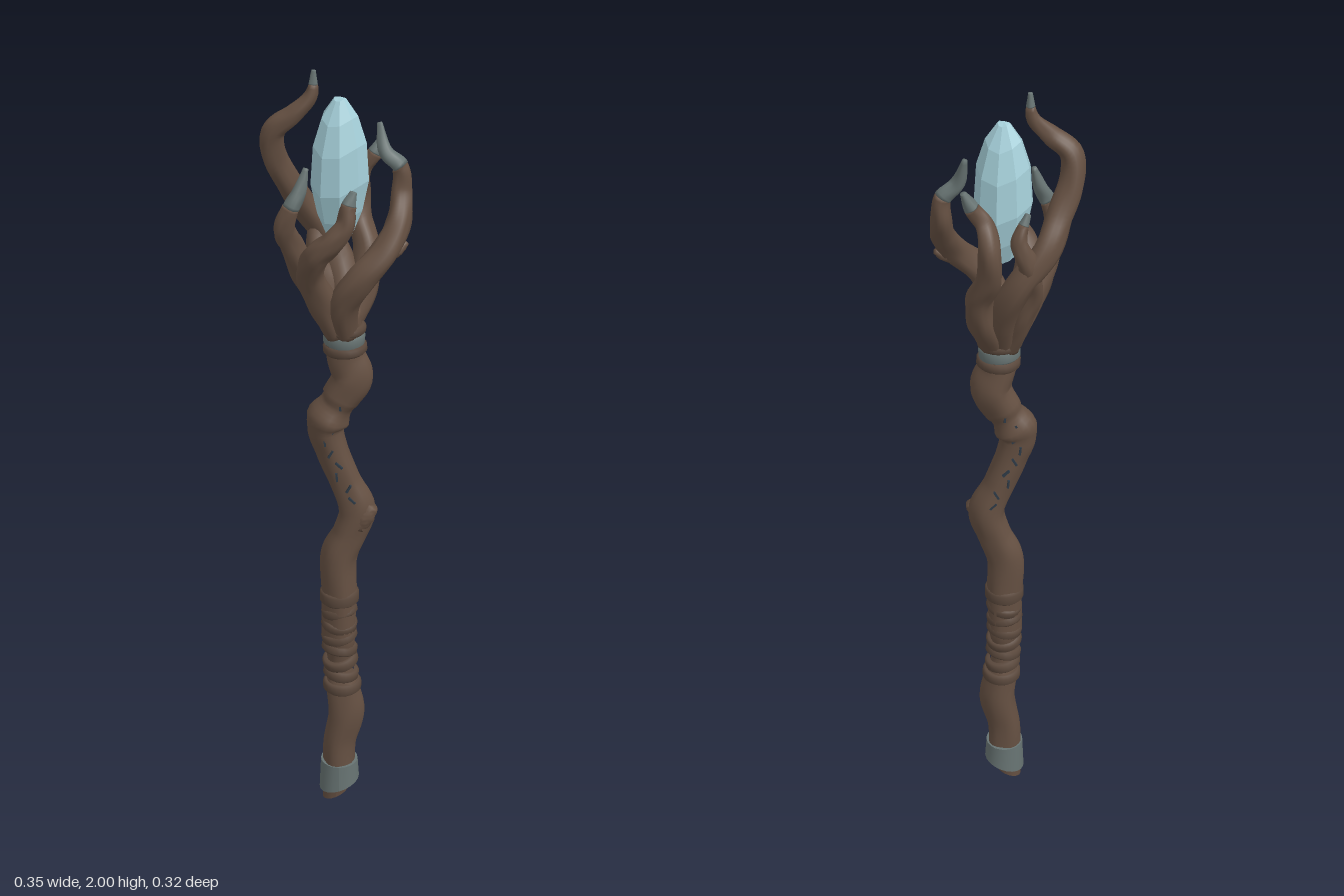
import * as THREE from 'three';

const material = (name, color) => {
  const m = new THREE.MeshStandardMaterial({ color });
  m.name = name;
  return m;
};

export function createModel() {
  const staff = new THREE.Group();
  staff.name = 'staff';
  const wood = material('brown wood', 0x655042);
  const binding = material('dark binding', 0x5a483c);
  const slate = material('slate grey', 0x677372);
  const ice = material('pale blue crystal', 0xa6d0da);
  const ink = material('dark rune', 0x2e3a46);

  const add = (name, geometry, mat, parent = staff) => {
    const mesh = new THREE.Mesh(geometry, mat);
    mesh.name = name;
    parent.add(mesh);
    return mesh;
  };

  // Gnarled tube through rows of [x, y, z, radius], optionally only from t0 to t1
  function limb(rows, { t0 = 0, t1 = 1, steps = 40, sides = 14, gnarl = 0.07, zScale = 1 } = {}) {
    const curve = new THREE.CatmullRomCurve3(rows.map(r => new THREE.Vector3(r[0], r[1], r[2])));
    const radii = new THREE.CatmullRomCurve3(rows.map(r => new THREE.Vector3(r[3], 0, 0)));
    const pos = [], index = [];
    const N = new THREE.Vector3(1, 0, 0), B = new THREE.Vector3();
    for (let i = 0; i <= steps; i++) {
      const t = t0 + (t1 - t0) * i / steps;
      const p = curve.getPoint(t), T = curve.getTangent(t);
      const radius = radii.getPoint(t).x;
      N.addScaledVector(T, -N.dot(T)).normalize();
      B.crossVectors(T, N);
      for (let j = 0; j < sides; j++) {
        const a = j / sides * Math.PI * 2;
        const r = radius * (1 + gnarl * Math.sin(3 * a + t * 17) + gnarl * 0.5 * Math.sin(5 * a - t * 31));
        const v = p.clone().addScaledVector(N, r * Math.cos(a)).addScaledVector(B, r * Math.sin(a) * zScale);
        pos.push(v.x, v.y, v.z);
      }
    }
    for (let i = 0; i < steps; i++) for (let j = 0; j < sides; j++) {
      const k = (j + 1) % sides, a = i * sides, b = a + sides;
      index.push(a + j, a + k, b + k, a + j, b + k, b + j);
    }
    // End caps
    const first = curve.getPoint(t0), last = curve.getPoint(t1), c = pos.length / 3, e = steps * sides;
    pos.push(first.x, first.y, first.z, last.x, last.y, last.z);
    for (let j = 0; j < sides; j++) {
      const k = (j + 1) % sides;
      index.push(c, k, j, c + 1, e + j, e + k);
    }
    const g = new THREE.BufferGeometry();
    g.setAttribute('position', new THREE.Float32BufferAttribute(pos, 3));
    g.setIndex(index);
    g.computeVertexNormals();
    return g;
  }

  // Crooked shaft
  const shaft = [
    [0.005, 0.06, 0, 0.044], [0.005, 0.18, 0, 0.043], [0.022, 0.28, 0, 0.047], [0.012, 0.37, 0, 0.043],
    [0.005, 0.5, 0, 0.043], [0.005, 0.63, 0, 0.045], [0.003, 0.75, 0, 0.046], [0.03, 0.82, 0, 0.043],
    [0.048, 0.89, 0, 0.045], [0.018, 0.97, 0, 0.039], [-0.012, 1.05, 0, 0.04], [-0.028, 1.12, 0, 0.046],
    [0.005, 1.19, 0, 0.046], [0.035, 1.25, 0, 0.05], [0.02, 1.31, 0, 0.046], [0.012, 1.42, 0, 0.044]
  ];
  add('shaft', limb(shaft, { steps: 110, sides: 20, gnarl: 0.045 }), wood);
  const shaftCurve = new THREE.CatmullRomCurve3(shaft.map(r => new THREE.Vector3(r[0], r[1], r[2])));
  const shaftAt = y => {
    let i = 0;
    while (i < shaft.length - 2 && shaft[i + 1][1] < y) i++;
    return shaftCurve.getPoint((i + (y - shaft[i][1]) / (shaft[i + 1][1] - shaft[i][1])) / (shaft.length - 1));
  };
  add('shaftKnot', limb([[0.05, 0.85, 0.012, 0.028], [0.07, 0.88, 0.018, 0.026], [0.088, 0.905, 0.02, 0.015]],
    { steps: 10 }), wood);

  // Slanted foot and metal ferrule; the cut end faces +x and down
  const foot = new THREE.CylinderGeometry(0.044, 0.036, 0.09, 18, 3);
  const ferrule = new THREE.CylinderGeometry(0.049, 0.053, 0.075, 20, 2);
  const slant = (g, height, amount, lean) => {
    const p = g.attributes.position;
    for (let i = 0; i < p.count; i++) {
      const w = 0.5 - p.getY(i) / height;
      p.setY(i, p.getY(i) + w * amount * p.getX(i));
      p.setX(i, p.getX(i) + w * lean);
    }
    g.computeVertexNormals();
  };
  slant(foot, 0.09, 0.5, -0.008);
  slant(ferrule, 0.075, 0.35, 0);
  add('footTip', foot, wood).position.set(0.004, 0.063, 0);
  add('ferrule', ferrule, slate).position.set(0.005, 0.087, 0);

  // Rounded collars around the shaft
  function collar(name, y, radius, height, mat, tiltX = 0, tiltZ = 0) {
    const h = height / 2, b = Math.min(0.006, h * 0.6);
    const profile = [[radius - 0.015, -h], [radius - b, -h], [radius, -h + b], [radius, h - b], [radius - b, h], [radius - 0.015, h]];
    const mesh = add(name, new THREE.LatheGeometry(profile.map(p => new THREE.Vector2(...p)), 24), mat);
    mesh.position.copy(shaftAt(y));
    mesh.rotation.set(tiltX, 0, tiltZ);
  }
  collar('gripLowerBand', 0.365, 0.05, 0.03, binding);
  collar('gripUpperBand', 0.635, 0.05, 0.036, binding);
  for (let i = 0; i < 6; i++) {
    collar('gripWrap', 0.405 + i * 0.037, 0.0465, 0.028, binding, 0.2 * Math.sin(i * 2.1), i % 2 ? 0.22 : -0.16);
  }
  collar('neckLowerBand', 1.328, 0.053, 0.026, binding, 0, 0.05);
  collar('neckMetalWrap', 1.354, 0.05, 0.034, slate, 0.06, -0.06);
  collar('neckUpperBand', 1.38, 0.054, 0.024, binding, 0, -0.04);

  // Small carved marks on the front and back of the bend
  for (const side of [1, -1]) for (let i = 0; i < 9; i++) {
    const y = 0.93 + i * 0.032;
    const mark = add('carvedMark', new THREE.BoxGeometry(0.005, 0.022, 0.008), ink);
    mark.position.copy(shaftAt(y));
    mark.position.x += 0.01 * Math.sin(i * 2.4);
    mark.position.z = side * 0.041;
    mark.rotation.z = i % 3 === 0 ? 0.8 : i % 3 === 1 ? -0.5 : 0.1;
  }

  // Curling branches that cage the crystal; slate begins at the fraction "grey"
  const branches = {
    tallBranch: { grey: 0.94, rows: [
      [0.01, 1.37, -0.015, 0.03], [0.015, 1.47, -0.055, 0.036], [-0.02, 1.57, -0.095, 0.033], [-0.08, 1.65, -0.085, 0.032],
      [-0.115, 1.72, -0.05, 0.03], [-0.145, 1.79, -0.025, 0.029], [-0.145, 1.855, -0.01, 0.027],
      [-0.1, 1.895, 0, 0.022], [-0.06, 1.94, 0, 0.015], [-0.053, 1.997, 0, 0.005]] },
    backBranch: { grey: 0.86, rows: [
      [0.025, 1.37, -0.015, 0.028], [0.06, 1.46, -0.055, 0.034], [0.07, 1.54, -0.085, 0.032], [0.05, 1.61, -0.12, 0.029],
      [0.05, 1.68, -0.133, 0.026], [0.06, 1.74, -0.105, 0.021], [0.085, 1.775, -0.1, 0.018], [0.105, 1.815, -0.105, 0.007]] },
    leftBranch: { grey: 0.76, rows: [
      [0.02, 1.37, 0.02, 0.03], [0.015, 1.46, 0.055, 0.036], [0.055, 1.53, 0.075, 0.034], [0.11, 1.59, 0.06, 0.032],
      [0.14, 1.65, 0.02, 0.029], [0.147, 1.71, -0.015, 0.024], [0.145, 1.765, -0.02, 0.02],
      [0.11, 1.8, -0.025, 0.017], [0.095, 1.865, -0.045, 0.006]] },
    frontBranch: { grey: 0.88, rows: [
      [-0.005, 1.37, 0.02, 0.028], [-0.035, 1.46, 0.05, 0.034], [-0.06, 1.54, 0.08, 0.032], [-0.045, 1.6, 0.115, 0.03],
      [-0.01, 1.64, 0.13, 0.026], [0.02, 1.68, 0.13, 0.022], [0.025, 1.72, 0.125, 0.018], [0.038, 1.755, 0.12, 0.008]] },
    rightBranch: { grey: 0.72, rows: [
      [-0.005, 1.37, 0, 0.028], [-0.045, 1.46, 0, 0.034], [-0.08, 1.53, 0.02, 0.031], [-0.105, 1.6, 0.045, 0.028],
      [-0.12, 1.65, 0.07, 0.025], [-0.105, 1.7, 0.078, 0.02], [-0.085, 1.74, 0.07, 0.016], [-0.07, 1.79, 0.062, 0.006]] },
    rearBranch: { grey: 0.92, rows: [
      [0, 1.37, -0.02, 0.026], [-0.03, 1.47, -0.05, 0.031], [-0.05, 1.55, -0.075, 0.027], [-0.04, 1.63, -0.105, 0.024],
      [-0.02, 1.69, -0.105, 0.019], [-0.04, 1.75, -0.09, 0.007]] }
  };
  for (const [name, { grey, rows }] of Object.entries(branches)) {
    const group = new THREE.Group();
    group.name = name;
    add('branchWood', limb(rows, { t1: grey, steps: 50 }), wood, group);
    add('branchTip', limb(rows, { t0: grey, steps: 16 }), slate, group);
    staff.add(group);
  }
  // Broken twigs
  add('leftTwig', limb([[0.11, 1.575, 0.055, 0.016], [0.14, 1.59, 0.042, 0.014], [0.16, 1.605, 0.033, 0.007]], { steps: 8 }), wood);
  add('rightTwig', limb([[-0.1, 1.6, 0.03, 0.016], [-0.125, 1.625, 0.03, 0.012], [-0.14, 1.65, 0.035, 0.006]], { steps: 8 }), wood);

  // Faceted crystal
  const outline = [[0, 1.59], [0.03, 1.605], [0.053, 1.66], [0.068, 1.73], [0.062, 1.82], [0.042, 1.885], [0.014, 1.93], [0, 1.936]];
  const gem = new THREE.LatheGeometry(outline.map(p => new THREE.Vector2(...p)), 9);
  const gp = gem.attributes.position;
  for (let i = 0; i < gp.count; i++) {
    const a = Math.atan2(gp.getZ(i), gp.getX(i));
    gp.setY(i, gp.getY(i) + 0.25 * Math.hypot(gp.getX(i), gp.getZ(i)) * Math.sin(2 * a + 0.6));
  }
  const facets = gem.toNonIndexed();
  facets.computeVertexNormals();
  add('crystal', facets, ice).position.set(0.005, 0, -0.005);

  return staff;
}
